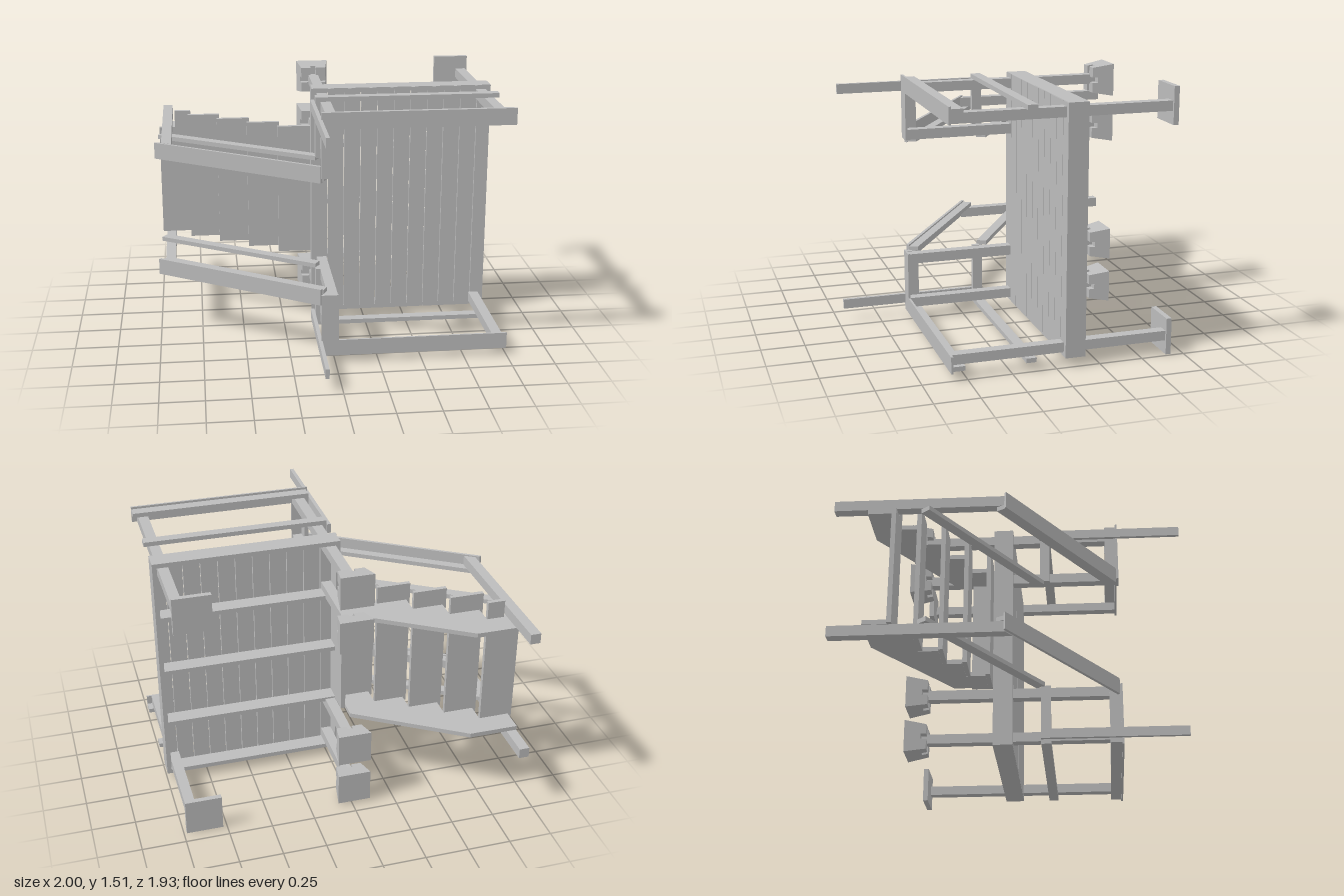
import * as THREE from 'three';

const MIRROR = 1.512; // the deck is symmetric about y = MIRROR / 2

export function createModel() {
  const root = new THREE.Group();
  root.name = 'deckWithStairs';
  const timber = new THREE.MeshStandardMaterial({ color: 0xbcbcbc });
  timber.name = 'grey timber';

  const add = (name, geo) => {
    const m = new THREE.Mesh(geo, timber);
    m.name = name;
    root.add(m);
  };
  // box from its limits on each axis
  const box = (name, x0, x1, y0, y1, z0, z1) => {
    const g = new THREE.BoxGeometry(x1 - x0, y1 - y0, z1 - z0);
    g.translate((x0 + x1) / 2, (y0 + y1) / 2, (z0 + z1) / 2);
    add(name, g);
  };
  // x-z outline extruded along y
  const prism = (name, pts, y0, y1) => {
    const shape = new THREE.Shape(pts.map(([x, z]) => new THREE.Vector2(x, z)));
    const g = new THREE.ExtrudeGeometry(shape, { depth: y1 - y0, bevelEnabled: false });
    g.rotateX(Math.PI / 2);
    g.translate(0, y1, 0);
    add(name, g);
  };
  // the same part on both sides
  const box2 = (name, x0, x1, y0, y1, z0, z1) => {
    box(name, x0, x1, y0, y1, z0, z1);
    box(name, x0, x1, MIRROR - y1, MIRROR - y0, z0, z1);
  };
  const prism2 = (name, pts, y0, y1) => {
    prism(name, pts, y0, y1);
    prism(name, pts, MIRROR - y1, MIRROR - y0);
  };

  // deck boards
  const pitch = 0.0995;
  for (let i = 0; i < 11; i++) {
    const x = -0.075 + i * pitch;
    box('deckBoard', x, Math.min(x + pitch - 0.004, 1), 0.055, 1.457, -0.07, -0.05);
  }

  // deck frame
  box2('sideRim', -0.07, 1, 1.433, 1.459, -0.165, -0.052);
  box('endRim', 0.974, 1, 0.055, 1.457, -0.165, -0.07);
  box('stairRim', -0.07, -0.044, 0.055, 1.457, -0.165, -0.07);
  for (const y of [0.406, 0.756, 1.106]) box('joist', -0.044, 0.974, y - 0.013, y + 0.013, -0.165, -0.07);
  box('stairLedger', -0.07, -0.043, 0.412, 1.1, -0.29, -0.165);

  // posts
  box2('endPost', 0.911, 0.97, 1.377, 1.433, -0.66, 0.578);
  box2('cornerPost', -0.043, 0.016, 1.377, 1.433, -0.585, 0.578);
  box2('stairTopPost', -0.043, 0.016, 1.103, 1.162, -0.585, 0.578);
  box2('longBatten', -0.096, -0.074, 1.377, 1.433, 0.115, 0.965);
  box2('footPlate', 0.773, 0.983, 1.302, 1.512, -0.68, -0.65);

  // tapered footing blocks with crossed slots
  const half = z => 0.075 + (0.021 * (-0.547 - z)) / 0.125;
  const footingPart = (cx, cy, x0, x1, y0, y1, z0, z1) => {
    const g = new THREE.BoxGeometry(x1 - x0, y1 - y0, z1 - z0);
    g.translate((x0 + x1) / 2, (y0 + y1) / 2, (z0 + z1) / 2);
    const p = g.attributes.position;
    const flare = (v, z) => (Math.abs(v) > 0.03 ? Math.sign(v) * half(z) : v);
    for (let i = 0; i < p.count; i++) {
      const z = p.getZ(i);
      p.setXY(i, flare(p.getX(i), z), flare(p.getY(i), z));
    }
    g.computeVertexNormals();
    g.translate(cx, cy, 0);
    add('footingBlock', g);
  };
  for (const y of [1.404, 1.129, MIRROR - 1.404, MIRROR - 1.129]) {
    footingPart(-0.0135, y, -0.08, 0.08, -0.08, 0.08, -0.672, -0.58);
    for (const [a, b] of [[-0.08, -0.016], [0.016, 0.08]])
      for (const [c, d] of [[-0.08, -0.016], [0.016, 0.08]])
        footingPart(-0.0135, y, a, b, c, d, -0.58, -0.547);
  }

  // deck railings
  for (const [z0, z1] of [[0.512, 0.578], [0.115, 0.173]]) {
    box2('sideRail', -0.07, 1, 1.433, 1.459, z0, z1);
    box2('returnRail', -0.07, -0.043, 1.1, 1.459, z0, z1);
  }
  box2('railCap', -0.08, 1, 1.377, 1.472, 0.578, 0.59);
  box2('returnCap', -0.08, 0.02, 1.1, 1.377, 0.578, 0.59);

  // stair railings
  prism2('stairUpperRail', [[-0.04, 0.515], [-0.947, -0.075], [-0.974, -0.027], [-0.065, 0.562]], 1.077, 1.103);
  prism2('stairLowerRail', [[-0.04, 0.09], [-0.952, -0.487], [-0.989, -0.438], [-0.07, 0.14]], 1.077, 1.103);
  prism2('stairRailCap', [[-0.07, 0.562], [-0.986, -0.032], [-1, -0.022], [-0.084, 0.575]], 1.07, 1.166);
  prism2('stairBottomPost', [[-0.96, -0.967], [-0.901, -0.967], [-0.901, 0.01], [-0.96, -0.027]], 1.104, 1.164);

  // stringers, stepped under the treads
  const run = 0.179, rise = 0.1135;
  const outline = [[-0.07, -0.39], [-0.07, -0.192]];
  for (let i = 0; i < 5; i++) {
    const x = -0.246 - i * run, z = -0.192 - i * rise;
    outline.push([x, z], [x, i < 4 ? z - rise : -0.78]);
  }
  outline.push([-0.674, -0.78]);
  prism2('stringer', outline, 1.077, 1.103);

  // treads, the lowest notched round the post
  for (let i = 0; i < 5; i++) {
    const x0 = -0.267 - i * run, z = -0.192 - i * rise;
    if (i < 4) {
      box('tread', x0, x0 + 0.197, 0.41, 1.206, z, z + 0.026);
    } else {
      box('tread', x0, -0.885, 0.41, 1.103, z, z + 0.026);
      box('tread', -0.885, x0 + 0.197, 0.41, 1.206, z, z + 0.026);
    }
  }

  return root;
}
